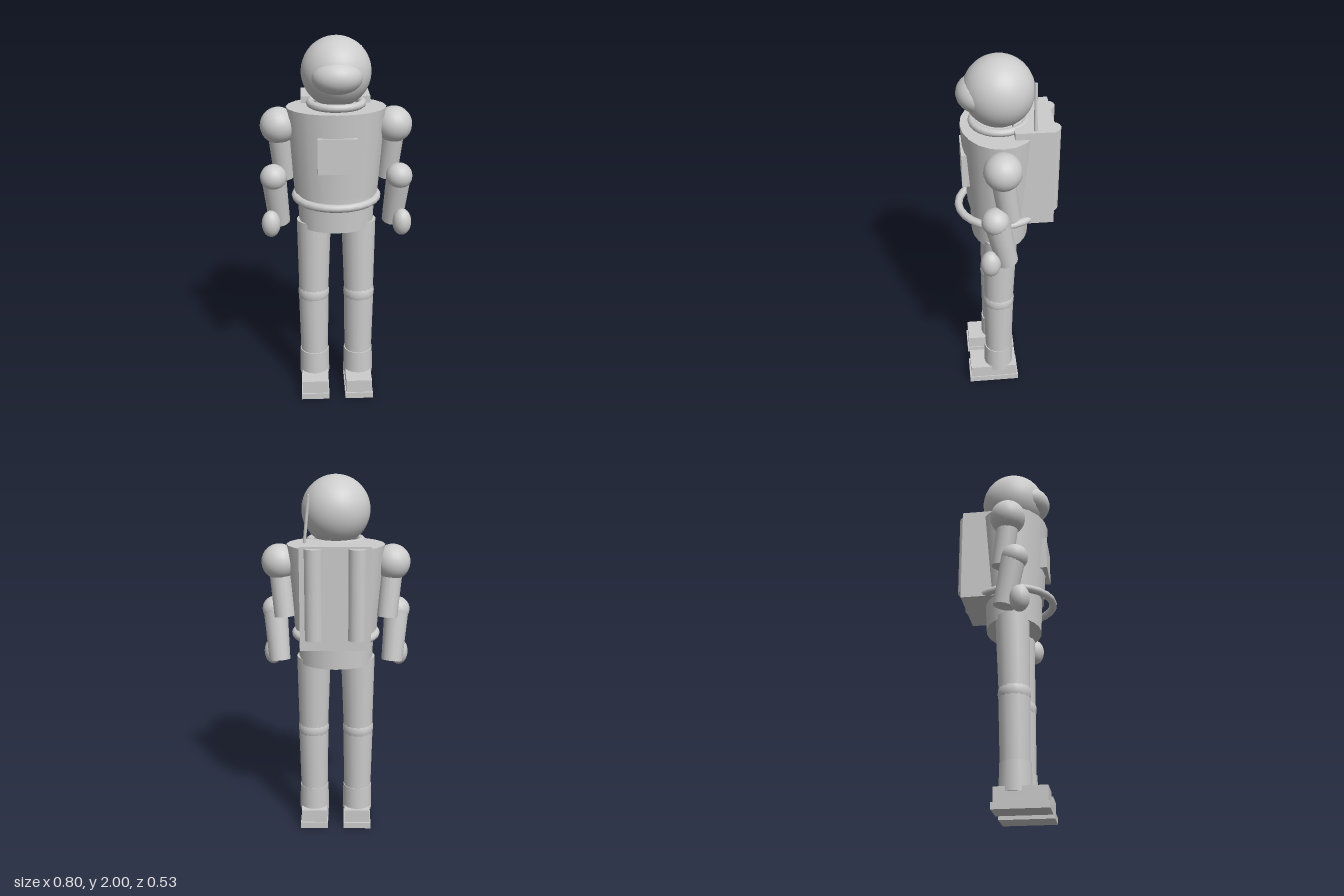
import * as THREE from 'three';

export function createModel() {
  const model = new THREE.Group();
  model.name = 'astronaut';
  const suit = new THREE.MeshStandardMaterial({ color: 0xcccccc });
  suit.name = 'suit grey';

  const add = (name, geometry, x = 0, y = 0, z = 0) => {
    const mesh = new THREE.Mesh(geometry, suit);
    mesh.name = name;
    mesh.position.set(x, y, z);
    model.add(mesh);
    return mesh;
  };
  // box from its centre in x and its limits in y and z
  const box = (name, x, width, y0, y1, z0, z1) =>
    add(name, new THREE.BoxGeometry(width, y1 - y0, z1 - z0), x, (y0 + y1) / 2, (z0 + z1) / 2);
  const ball = (name, x, y, z, rx, ry = rx, rz = rx, sides = 20) =>
    add(name, new THREE.SphereGeometry(1, sides, Math.ceil(sides * 0.7)).scale(rx, ry, rz), x, y, z);
  // tapered limb running from point a (top) to point b (bottom)
  const limb = (name, a, b, ra, rb, sides = 16) => {
    const top = new THREE.Vector3(...a), bottom = new THREE.Vector3(...b);
    const axis = top.clone().sub(bottom);
    const mesh = add(name, new THREE.CylinderGeometry(ra, rb, axis.length(), sides));
    mesh.position.copy(top).add(bottom).multiplyScalar(0.5);
    mesh.quaternion.setFromUnitVectors(new THREE.Vector3(0, 1, 0), axis.normalize());
    return mesh;
  };
  const ring = (name, y, radius, tube) =>
    add(name, new THREE.TorusGeometry(radius, tube, 10, 24).rotateX(Math.PI / 2), 0, y, 0.03);
  // oval body section, flatter from front to back
  const bodySection = (name, y0, y1, rTop, rBottom) =>
    add(name, new THREE.CylinderGeometry(rTop, rBottom, y1 - y0, 20).scale(1, 1, 0.76), 0, (y0 + y1) / 2, 0.03);

  // head
  ball('helmet', 0, 1.822, 0.03, 0.178, 0.178, 0.178, 32);
  ball('visor', 0, 1.815, 0.13, 0.13, 0.09, 0.11, 24);
  ring('neckRing', 1.664, 0.135, 0.02);

  // body
  bodySection('torso', 1.19, 1.645, 0.257, 0.22);
  bodySection('pelvis', 1.0, 1.19, 0.205, 0.197);
  ring('belt', 1.165, 0.216, 0.021);
  box('chestPanel', 0, 0.2, 1.34, 1.525, 0.17, 0.226);

  // life support pack
  box('backpack', 0, 0.36, 1.145, 1.68, -0.235, -0.033);
  limb('antenna', [0.133, 1.92, -0.133], [0.157, 1.67, -0.133], 0.008, 0.008, 8);

  for (const s of [-1, 1]) {
    const side = s > 0 ? 'left' : 'right';
    limb(side + 'Tank', [s * 0.11, 1.67, -0.215], [s * 0.11, 1.2, -0.215], 0.05, 0.05, 14);

    // arm
    ball(side + 'Shoulder', s * 0.297, 1.548, 0.037, 0.095);
    limb(side + 'UpperArm', [s * 0.298, 1.56, 0.045], [s * 0.272, 1.26, 0.002], 0.06, 0.055);
    ball(side + 'Elbow', s * 0.328, 1.28, 0.078, 0.07);
    limb(side + 'Forearm', [s * 0.326, 1.27, 0.07], [s * 0.305, 1.01, 0.018], 0.065, 0.057);
    ball(side + 'Hand', s * 0.347, 1.03, 0.105, 0.05, 0.073, 0.052);

    // leg
    limb(side + 'Thigh', [s * 0.12, 1.028, 0.037], [s * 0.125, 0.58, 0.047], 0.092, 0.08);
    ball(side + 'Knee', s * 0.125, 0.597, 0.047, 0.086);
    limb(side + 'Shin', [s * 0.125, 0.59, 0.047], [s * 0.124, 0.1, 0.05], 0.083, 0.074);
    limb(side + 'BootCuff', [s * 0.124, 0.238, 0.051], [s * 0.124, 0.085, 0.051], 0.081, 0.084);
    box(side + 'Boot', s * 0.123, 0.145, 0.03, 0.11, -0.05, 0.217);
    box(side + 'Sole', s * 0.123, 0.156, 0, 0.035, -0.06, 0.225);
  }
  return model;
}
